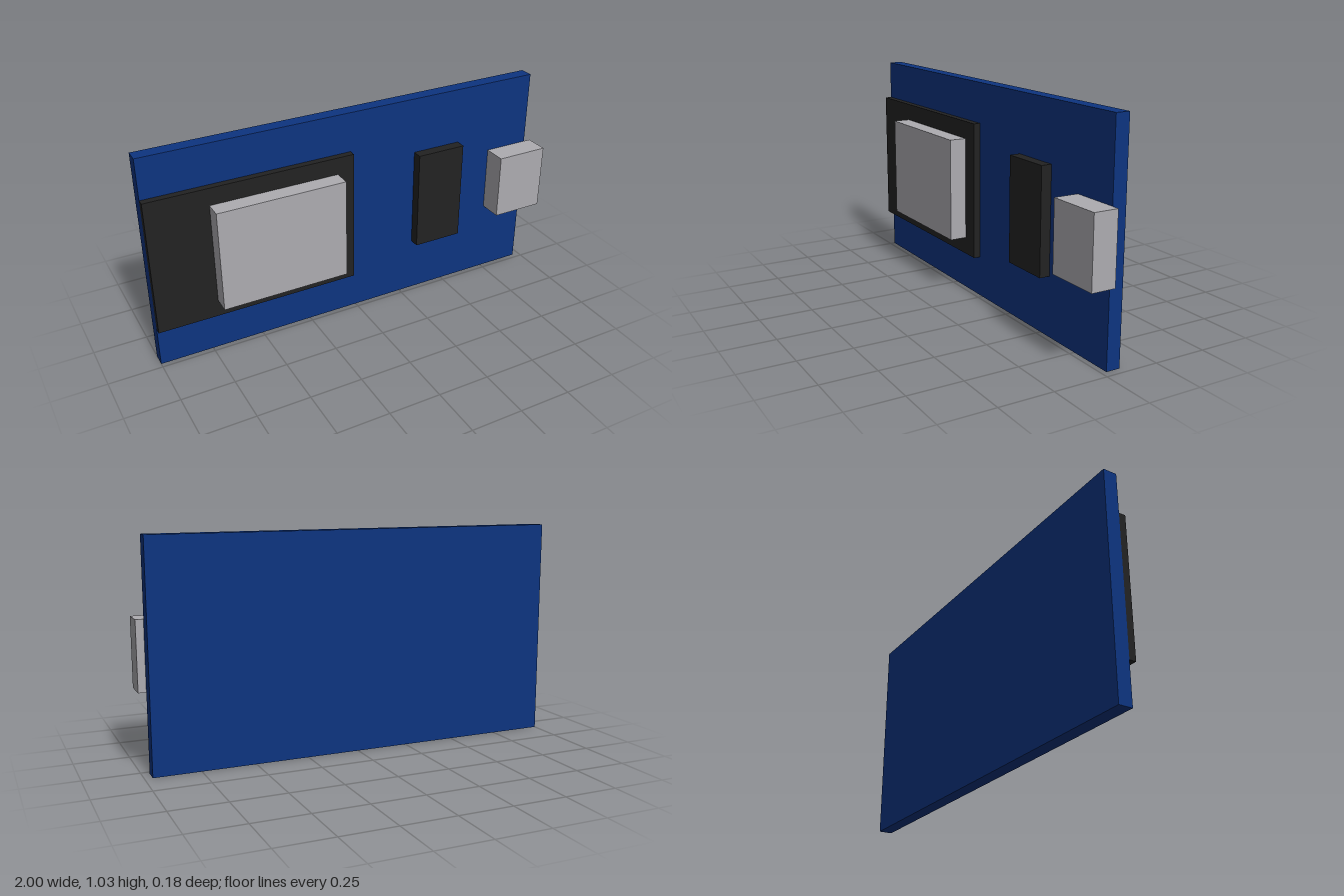
import * as THREE from 'three';

export function createModel() {
  const model = new THREE.Group();
  model.name = 'circuitBoard';

  const material = (name, color) => {
    const m = new THREE.MeshStandardMaterial({ color });
    m.name = name;
    return m;
  };
  const blue = material('boardBlue', 0x0d3480);
  const black = material('chipBlack', 0x222222);
  const silver = material('metalSilver', 0xadacb1);

  // Box given by its extents along each axis
  const block = (name, mat, [x0, x1], [y0, y1], [z0, z1]) => {
    const mesh = new THREE.Mesh(new THREE.BoxGeometry(x1 - x0, y1 - y0, z1 - z0), mat);
    mesh.name = name;
    mesh.position.set((x0 + x1) / 2, (y0 + y1) / 2, (z0 + z1) / 2);
    model.add(mesh);
  };

  const face = -0.024; // front surface of the board

  block('board', blue, [-1, 0.965], [0, 1.035], [-0.089, face]);

  // Radio module: dark carrier with a metal shield
  block('moduleCarrier', black, [-1, -0.025], [0.194, 0.845], [face, 0.008]);
  block('moduleShield', silver, [-0.716, -0.106], [0.275, 0.763], [0.008, 0.089]);

  // Chip
  block('chip', black, [0.315, 0.559], [0.275, 0.763], [face, 0.025]);

  // Connector overhanging the board's edge
  block('connector', silver, [0.743, 1], [0.361, 0.678], [face, 0.089]);

  return model;
}
